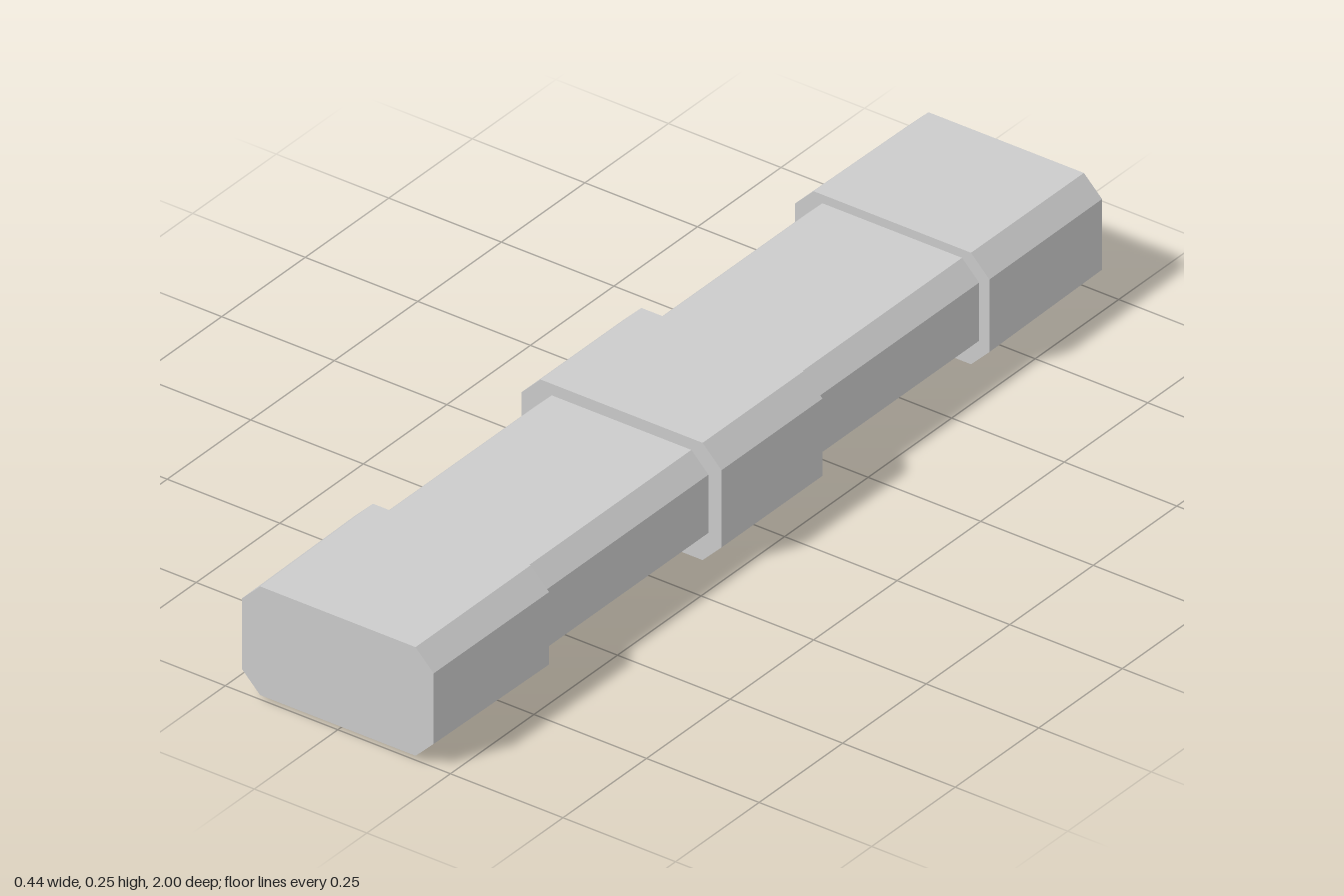
import * as THREE from 'three';

const CENTER_Y = 0.123;
const material = new THREE.MeshStandardMaterial({ color: 0xcccccc, flatShading: true });

// Chamfered rectangle: half width, half height, corner cut
function octagon(w, h, c) {
  return new THREE.Shape([
    [w, -h + c], [w, h - c], [w - c, h], [-w + c, h],
    [-w, h - c], [-w, -h + c], [-w + c, -h], [w - c, -h],
  ].map(([x, y]) => new THREE.Vector2(x, y)));
}

// Chamfered bar along z from z0 to z1, its far end inset by taper
function bar(name, w, h, c, z0, z1, taper = 0) {
  const geometry = new THREE.ExtrudeGeometry(octagon(w, h, c), { depth: z1 - z0, bevelEnabled: false });
  const p = geometry.attributes.position;
  for (let i = 0; i < p.count; i++) {
    if (p.getZ(i) > 0) {
      p.setX(i, p.getX(i) * (1 - taper / w));
      p.setY(i, p.getY(i) * (1 - taper / h));
    }
  }
  geometry.translate(0, 0, z0);
  geometry.computeVertexNormals();
  const mesh = new THREE.Mesh(geometry, material);
  mesh.name = name;
  mesh.position.y = CENTER_Y;
  return mesh;
}

export function createModel() {
  const model = new THREE.Group();
  model.name = 'handle';

  // Slim shaft and wide middle collar
  model.add(bar('shaft', 0.193, 0.099, 0.038, -0.7, 0.7));
  model.add(bar('middleCollar', 0.222, 0.123, 0.042, -0.151, 0.151));

  // Slightly tapered caps at both ends
  const frontCap = bar('frontCap', 0.216, 0.117, 0.041, 0.659, 1, 0.003);
  const backCap = bar('backCap', 0.216, 0.117, 0.041, 0.659, 1, 0.003);
  backCap.rotation.y = Math.PI;
  model.add(frontCap, backCap);

  return model;
}
